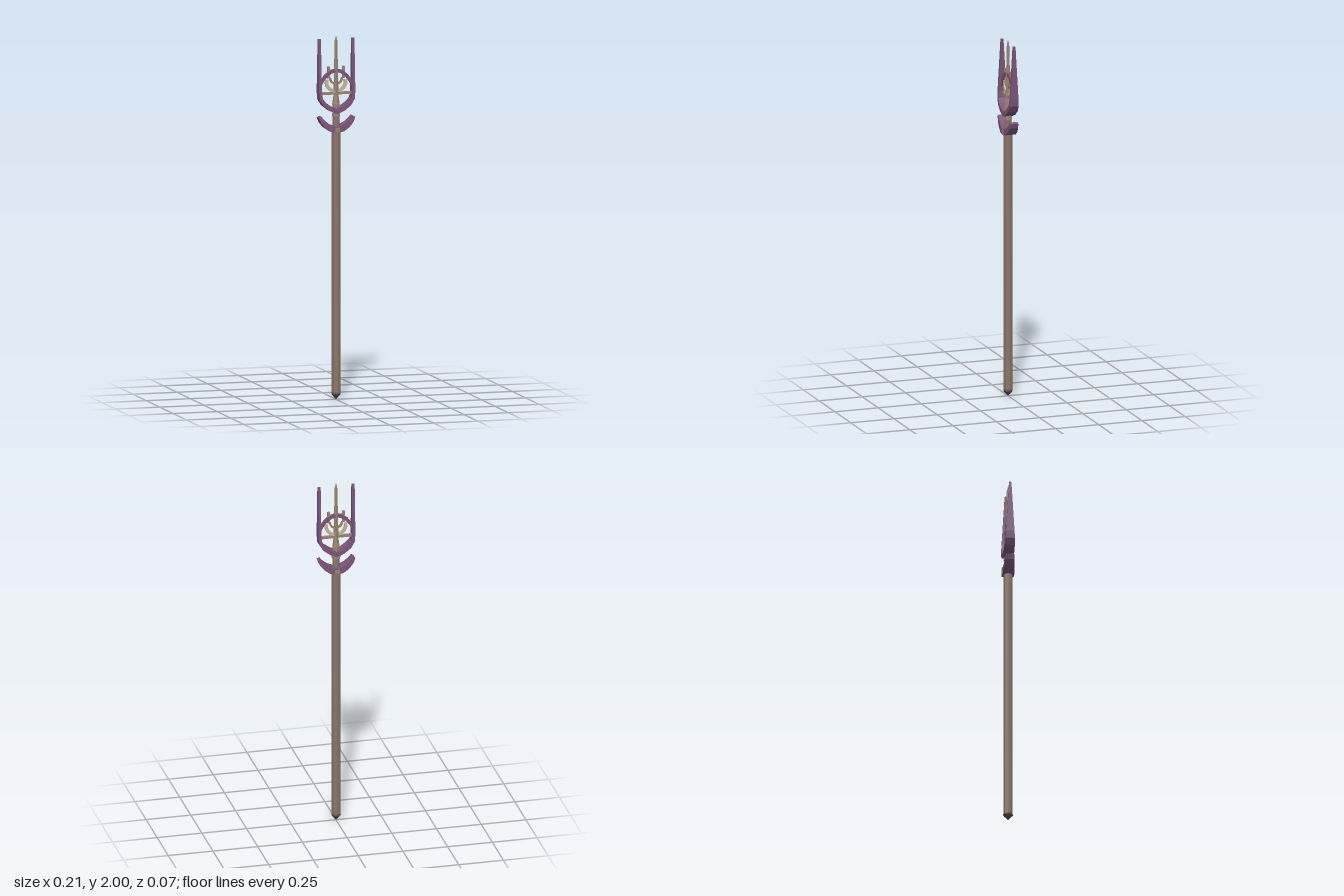
import * as THREE from 'three';

const material = (name, color) => {
  const m = new THREE.MeshStandardMaterial({ color });
  m.name = name;
  return m;
};

// Faceted normals for low-poly parts
function faceted(geometry) {
  const g = geometry.index ? geometry.toNonIndexed() : geometry;
  g.computeVertexNormals();
  return g;
}

// Box-section band following [x, y, halfThickness, halfDepth] stations
function band(stations) {
  const rings = stations.map(([x, y, t, d], i) => {
    const a = stations[Math.max(i - 1, 0)];
    const b = stations[Math.min(i + 1, stations.length - 1)];
    const len = Math.hypot(b[0] - a[0], b[1] - a[1]);
    const nx = -(b[1] - a[1]) / len * t, ny = (b[0] - a[0]) / len * t;
    return [[x + nx, y + ny, d], [x + nx, y + ny, -d], [x - nx, y - ny, -d], [x - nx, y - ny, d]];
  });
  const pos = [];
  const quad = (a, b, c, d) => [a, b, c, a, c, d].forEach((p) => pos.push(...p));
  for (let i = 0; i + 1 < rings.length; i++) {
    for (let k = 0; k < 4; k++) {
      const n = (k + 1) % 4;
      quad(rings[i][k], rings[i + 1][k], rings[i + 1][n], rings[i][n]);
    }
  }
  quad(...rings[0]);
  quad(...rings[rings.length - 1].slice().reverse());
  const g = new THREE.BufferGeometry();
  g.setAttribute('position', new THREE.Float32BufferAttribute(pos, 3));
  g.computeVertexNormals();
  return g;
}

// Mirrors stations that start on the centre line; runs left to right
const mirrored = (half) =>
  [...half.slice(1).reverse().map(([x, ...r]) => [-x, ...r]), ...half];

// Circular band in the front plane, angles in degrees
function arc(cy, radius, from, to, t, d, steps) {
  return band(Array.from({ length: steps + 1 }, (_, i) => {
    const a = THREE.MathUtils.degToRad(from + (to - from) * i / steps);
    return [radius * Math.cos(a), cy + radius * Math.sin(a), t, d];
  }));
}

const turned = (profile, sides) =>
  faceted(new THREE.LatheGeometry(profile.map(([r, y]) => new THREE.Vector2(r, y)), sides));

export function createModel() {
  const group = new THREE.Group();
  const wood = material('brown shaft', 0x8c7468);
  const purple = material('purple metal', 0x7b5579);
  const cream = material('pale ring', 0xc4b99e);
  const tan = material('tan trim', 0x9b8670);
  const dark = material('dark tip', 0x5f4d4c);

  const add = (name, geometry, mat, x = 0, y = 0, z = 0) => {
    const mesh = new THREE.Mesh(geometry, mat);
    mesh.name = name;
    mesh.position.set(x, y, z);
    group.add(mesh);
  };

  // Shaft, foot and central spike
  add('shaft', turned([[0.025, 0.035], [0.025, 1.48], [0.019, 1.5], [0.019, 1.58]], 8), wood);
  add('foot', turned([[0, 0], [0.027, 0.03], [0.025, 0.04]], 8), dark);
  add('centreSpike', turned(
    [[0.019, 1.57], [0.021, 1.62], [0.014, 1.67], [0.011, 1.82], [0.007, 1.97], [0, 2]], 6), tan);

  // Lower crescent guard
  add('crescentGuard', band(mirrored([
    [0, 1.482, 0.017, 0.032], [0.03, 1.488, 0.017, 0.031], [0.06, 1.506, 0.015, 0.028],
    [0.083, 1.53, 0.012, 0.025], [0.096, 1.553, 0.008, 0.022],
  ])), purple);
  for (const s of [-1, 1]) {
    add('guardStud', new THREE.BoxGeometry(0.026, 0.026, 0.008), tan, 0, 1.482, s * 0.03);
  }
  add('neckCollar', faceted(new THREE.CylinderGeometry(0.024, 0.024, 0.016, 8)), tan, 0, 1.562, 0);

  // Outer fork with tapering blades
  add('fork', band(mirrored([
    [0, 1.582, 0.014, 0.029], [0.035, 1.596, 0.012, 0.029], [0.07, 1.622, 0.011, 0.028],
    [0.09, 1.65, 0.009, 0.026], [0.095, 1.69, 0.008, 0.023], [0.095, 1.98, 0.008, 0.006],
  ])), purple);

  // Inner tracery between the blades
  add('upperArch', band(mirrored([
    [0, 1.805, 0.01, 0.008], [0.03, 1.798, 0.01, 0.008], [0.06, 1.775, 0.009, 0.008],
    [0.08, 1.748, 0.008, 0.008], [0.092, 1.72, 0.006, 0.008],
  ])), purple);
  add('crossbar', new THREE.BoxGeometry(0.18, 0.014, 0.014), tan, 0, 1.68, 0);
  add('paleCrescent', arc(1.745, 0.055, 170, 370, 0.009, 0.007, 12), cream);
  add('innerRing', arc(1.765, 0.034, 180, 360, 0.005, 0.006, 10), tan);
  for (const s of [-1, 1]) {
    add('horn', new THREE.BoxGeometry(0.013, 0.065, 0.012), tan, s * 0.042, 1.795, 0);
  }
  return group;
}
